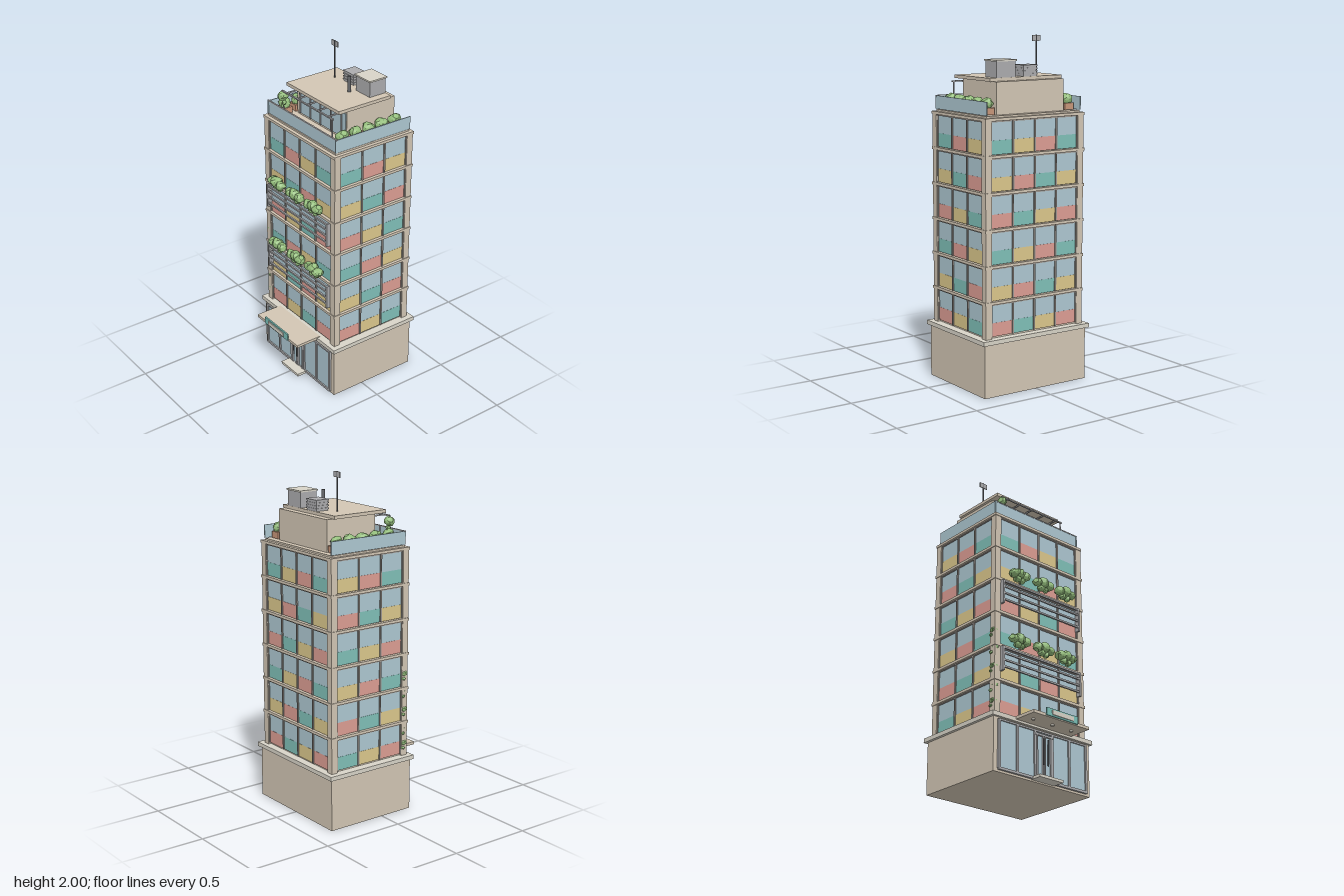
import * as THREE from 'three';

const mat = (color, extra = {}) => new THREE.MeshStandardMaterial({ color, ...extra });
const M = {
  wall: mat(0xd2c6b4), trim: mat(0xd8d4c8), glass: mat(0xaec8d2), frame: mat(0x9c9690),
  grey: mat(0xacacae), dark: mat(0x66686c), sign: mat(0x7cc0b8), pot: mat(0xc8967a),
  leaf: mat(0x96c07e, { flatShading: true }),
};
const PANELS = [mat(0xdd9e94), mat(0xdcc88c), mat(0x80c0b8)];

const CZ = -0.077;                       // depth centre of the tower
const HX = 0.336, HZ = 0.272;            // tower half sizes
const Y0 = 0.333, FLOOR = 0.2045, FLOORS = 6;
const TOP = Y0 + FLOOR * FLOORS;         // tower roof level

// box given by its limits on each axis
function box(parent, name, m, x0, x1, y0, y1, z0, z1) {
  const mesh = new THREE.Mesh(new THREE.BoxGeometry(x1 - x0, y1 - y0, z1 - z0), m);
  mesh.position.set((x0 + x1) / 2, (y0 + y1) / 2, (z0 + z1) / 2);
  mesh.name = name;
  parent.add(mesh);
  return mesh;
}

function rod(parent, name, m, r, x, y0, y1, z) {
  const mesh = new THREE.Mesh(new THREE.CylinderGeometry(r, r, y1 - y0, 12), m);
  mesh.position.set(x, (y0 + y1) / 2, z);
  mesh.name = name;
  parent.add(mesh);
}

function group(parent, name) {
  const g = new THREE.Group();
  g.name = name;
  parent.add(g);
  return g;
}

// faceted foliage lump: an icosahedron whose corners are pushed in and out
let seed = 1;
function bush(parent, name, x, y, z, rx, ry = rx, rz = rx) {
  const geo = new THREE.IcosahedronGeometry(1, 1), p = geo.attributes.position;
  const v = new THREE.Vector3(), s = seed++;
  for (let i = 0; i < p.count; i++) {
    v.fromBufferAttribute(p, i);
    const k = Math.sin(Math.round(v.x * 50) * 1.7 + Math.round(v.y * 50) * 2.3 + Math.round(v.z * 50) * 3.1 + s * 4.7);
    v.multiplyScalar(0.98 + 0.12 * k);
    p.setXYZ(i, v.x * rx, v.y * ry, v.z * rz);
  }
  geo.computeVertexNormals();
  const mesh = new THREE.Mesh(geo, M.leaf);
  mesh.position.set(x, y, z);
  mesh.name = name;
  parent.add(mesh);
}

// window grid on one side, built facing +z and turned into place
function facade(parent, name, turn, half, depth, cols, reversed) {
  const g = group(parent, name);
  g.position.z = CZ;
  g.rotation.y = turn;
  const w = (half * 2) / cols;
  for (let f = 0; f < FLOORS; f++) {
    const y = Y0 + f * FLOOR;
    for (let c = 0; c < cols; c++) {
      const x = -half + c * w, k = reversed ? cols - 1 - c : c;
      box(g, 'windowPane', M.glass, x + 0.005, x + w - 0.005, y + 0.088, y + 0.19, depth - 0.02, depth - 0.011);
      box(g, 'colourPanel', PANELS[(f + k) % 3], x + 0.005, x + w - 0.005, y + 0.01, y + 0.088, depth - 0.02, depth - 0.01);
    }
    box(g, 'windowHead', M.frame, -half, half, y + 0.188, y + 0.194, depth - 0.02, depth - 0.006);
    for (let c = 0; c <= cols; c++) {
      const x = -half + c * w;
      box(g, 'mullion', M.frame, x - 0.005, x + 0.005, y + 0.01, y + 0.194, depth - 0.02, depth - 0.004);
    }
  }
}

function buildBase(root) {
  const g = group(root, 'groundFloor');
  box(g, 'baseWalls', M.wall, -0.352, 0.352, 0, 0.308, -0.362, 0.208);
  box(g, 'baseCornice', M.trim, -0.369, 0.369, 0.308, Y0, -0.378, 0.222);
  // shop front
  box(g, 'shopGlass', M.glass, -0.318, 0.318, 0.022, 0.295, 0.2, 0.214);
  box(g, 'shopSill', M.grey, -0.322, 0.322, 0.012, 0.026, 0.2, 0.222);
  box(g, 'shopHead', M.grey, -0.322, 0.322, 0.288, 0.298, 0.2, 0.222);
  for (let i = -2.5; i <= 2.5; i++)
    box(g, 'shopMullion', M.grey, i * 0.127 - 0.007, i * 0.127 + 0.007, 0.02, 0.295, 0.2, 0.222);
  // double door
  box(g, 'doorHead', M.grey, -0.07, 0.07, 0.268, 0.28, 0.2, 0.226);
  for (const s of [-1, 1]) {
    box(g, 'doorStile', M.grey, s * 0.052 - 0.005, s * 0.052 + 0.005, 0.02, 0.27, 0.2, 0.225);
    box(g, 'doorMiddle', M.grey, s * 0.006 - 0.004, s * 0.006 + 0.004, 0.02, 0.27, 0.2, 0.225);
    rod(g, 'doorHandle', M.dark, 0.004, s * 0.016, 0.1, 0.25, 0.236);
  }
  box(g, 'doorStep', M.trim, -0.085, 0.085, 0.008, 0.024, 0.2, 0.28);
  // canopy, sign panel and lamps
  box(g, 'canopy', M.wall, -0.204, 0.204, 0.32, 0.337, 0.2, 0.365);
  box(g, 'signBoard', M.sign, -0.115, 0.115, 0.326, 0.37, 0.364, 0.373);
  box(g, 'signFace', M.trim, -0.078, 0.078, 0.335, 0.36, 0.37, 0.378);
  for (const x of [-0.14, 0, 0.14]) rod(g, 'canopyLamp', M.trim, 0.01, x, 0.312, 0.322, 0.29);
}

function buildTower(root) {
  const g = group(root, 'tower');
  box(g, 'towerCore', M.wall, -HX + 0.018, HX - 0.018, Y0, TOP, CZ - HZ + 0.018, CZ + HZ - 0.018);
  for (const sx of [-1, 1]) for (const sz of [-1, 1]) {
    const x = sx * (HX - 0.02), z = CZ + sz * (HZ - 0.02);
    box(g, 'cornerColumn', M.wall, x - 0.02, x + 0.02, Y0, TOP, z - 0.02, z + 0.02);
  }
  for (let f = 1; f <= FLOORS; f++) {
    const y = Y0 + f * FLOOR, e = 0.004;
    box(g, 'floorSlab', M.wall, -HX - e, HX + e, y - 0.009, y + 0.007, CZ - HZ - e, CZ + HZ + e);
  }
  facade(g, 'frontFacade', 0, 0.296, HZ, 4, false);
  facade(g, 'backFacade', Math.PI, 0.296, HZ, 4, true);
  facade(g, 'leftFacade', Math.PI / 2, 0.232, HX, 3, false);
  facade(g, 'rightFacade', -Math.PI / 2, 0.232, HX, 3, true);
}

function buildBalcony(root, y) {
  const g = group(root, 'balcony');
  for (const h of [0.025, 0.065, 0.105, 0.138])
    box(g, 'balconyRail', M.grey, -0.295, 0.295, y + h - 0.005, y + h + 0.005, 0.207, 0.217);
  for (const s of [-1, 1]) {
    box(g, 'balconyPost', M.grey, s * 0.29 - 0.006, s * 0.29 + 0.006, y, y + 0.145, 0.19, 0.219);
  }
  // three clumps of greenery above the rail
  for (const x of [-0.18, 0, 0.172]) {
    bush(g, 'balconyPlant', x - 0.042, y + 0.206, 0.225, 0.032, 0.027, 0.03);
    bush(g, 'balconyPlant', x, y + 0.213, 0.226, 0.036, 0.032, 0.033);
    bush(g, 'balconyPlant', x + 0.042, y + 0.205, 0.225, 0.034, 0.027, 0.031);
    bush(g, 'balconyPlant', x - 0.012, y + 0.18, 0.22, 0.025, 0.02, 0.022);
    bush(g, 'balconyPlant', x + 0.022, y + 0.174, 0.22, 0.018, 0.018, 0.02);
  }
}

function buildRoof(root) {
  const g = group(root, 'roofTerrace');
  const deck = TOP + 0.007;
  box(g, 'roofDeck', M.wall, -0.32, 0.32, deck - 0.01, deck + 0.01, CZ - 0.255, CZ + 0.255);
  // glass railing on three sides
  box(g, 'frontRailing', M.glass, -0.325, 0.325, 1.58, 1.655, 0.17, 0.175);
  box(g, 'frontHandrail', M.grey, -0.327, 0.327, 1.653, 1.659, 0.168, 0.177);
  for (let i = -3; i <= 3; i++) rod(g, 'railingPost', M.grey, 0.005, i * 0.105, 1.575, 1.658, 0.17);
  for (const s of [-1, 1])
    box(g, 'sideRailing', M.glass, s * 0.32 - 0.003, s * 0.32 + 0.003, 1.58, 1.656, -0.338, 0.18);
  // planters along both sides
  for (const s of [-1, 1]) for (let i = 0; i < 5; i++) {
    const z = -0.265 + i * 0.0905;
    box(g, 'planter', M.pot, s * 0.272 - 0.03, s * 0.272 + 0.03, 1.58, 1.618, z - 0.034, z + 0.034);
    bush(g, 'planterBush', s * 0.271, 1.64, z, 0.036, 0.032, 0.04);
  }
  // penthouse with overhanging roof
  const p = group(root, 'penthouse');
  box(p, 'penthouseWalls', M.wall, -0.23, 0.23, 1.575, 1.758, -0.297, 0.035);
  box(p, 'penthouseRoof', M.wall, -0.245, 0.245, 1.757, 1.776, -0.257, 0.1);
  box(p, 'penthouseGlass', M.glass, -0.205, 0.225, 1.59, 1.737, 0.03, 0.041);
  for (let i = -2; i <= 2; i++) {
    const x = i * 0.096;
    box(p, 'penthouseMullion', M.grey, x - 0.004, x + 0.004, 1.59, 1.737, 0.035, 0.046);
    box(p, 'pergolaBeam', M.grey, x - 0.004, x + 0.004, 1.733, 1.741, 0.035, 0.14);
  }
  box(p, 'pergolaRail', M.grey, -0.24, 0.24, 1.732, 1.74, 0.129, 0.138);
  for (const s of [-1, 1]) rod(p, 'pergolaPost', M.grey, 0.004, s * 0.23, 1.58, 1.735, 0.133);
  bush(p, 'hangingPlant', -0.235, 1.705, 0.132, 0.027, 0.03, 0.03);
  bush(p, 'hangingPlant', -0.228, 1.668, 0.13, 0.014, 0.018, 0.014);
  // roof equipment
  const e = group(root, 'roofEquipment');
  box(e, 'liftHousing', M.grey, 0.074, 0.199, 1.775, 1.866, -0.256, -0.146);
  box(e, 'liftHousingLid', M.trim, 0.068, 0.205, 1.865, 1.874, -0.262, -0.14);
  box(e, 'coolingUnit', M.grey, -0.073, 0.016, 1.775, 1.836, -0.254, -0.175);
  for (let i = 0; i < 4; i++)
    box(e, 'coolingLouvre', M.grey, -0.077, 0.02, 1.784 + i * 0.016, 1.792 + i * 0.016, -0.257, -0.172);
  rod(e, 'ventPipe', M.dark, 0.01, 0.067, 1.775, 1.87, -0.105);
  rod(e, 'mast', M.dark, 0.004, -0.138, 1.775, 2, -0.16);
  box(e, 'mastPanel', M.grey, -0.165, -0.111, 1.966, 1.998, -0.163, -0.157);
}

export function createModel() {
  const root = new THREE.Group();
  root.name = 'apartmentTower';
  buildBase(root);
  buildTower(root);
  for (const f of [1, 3]) buildBalcony(root, Y0 + f * FLOOR + 0.05);
  buildRoof(root);
  // climbing plant on the front right corner
  [0.41, 0.5, 0.615, 0.725, 0.83].forEach((y, i) => {
    bush(root, 'climbingLeaf', -0.328 + (i % 2) * 0.012, y, 0.176, 0.02, 0.016, 0.022);
    bush(root, 'climbingLeaf', -0.338, y - 0.03, 0.165, 0.01, 0.009, 0.012);
  });
  return root;
}
